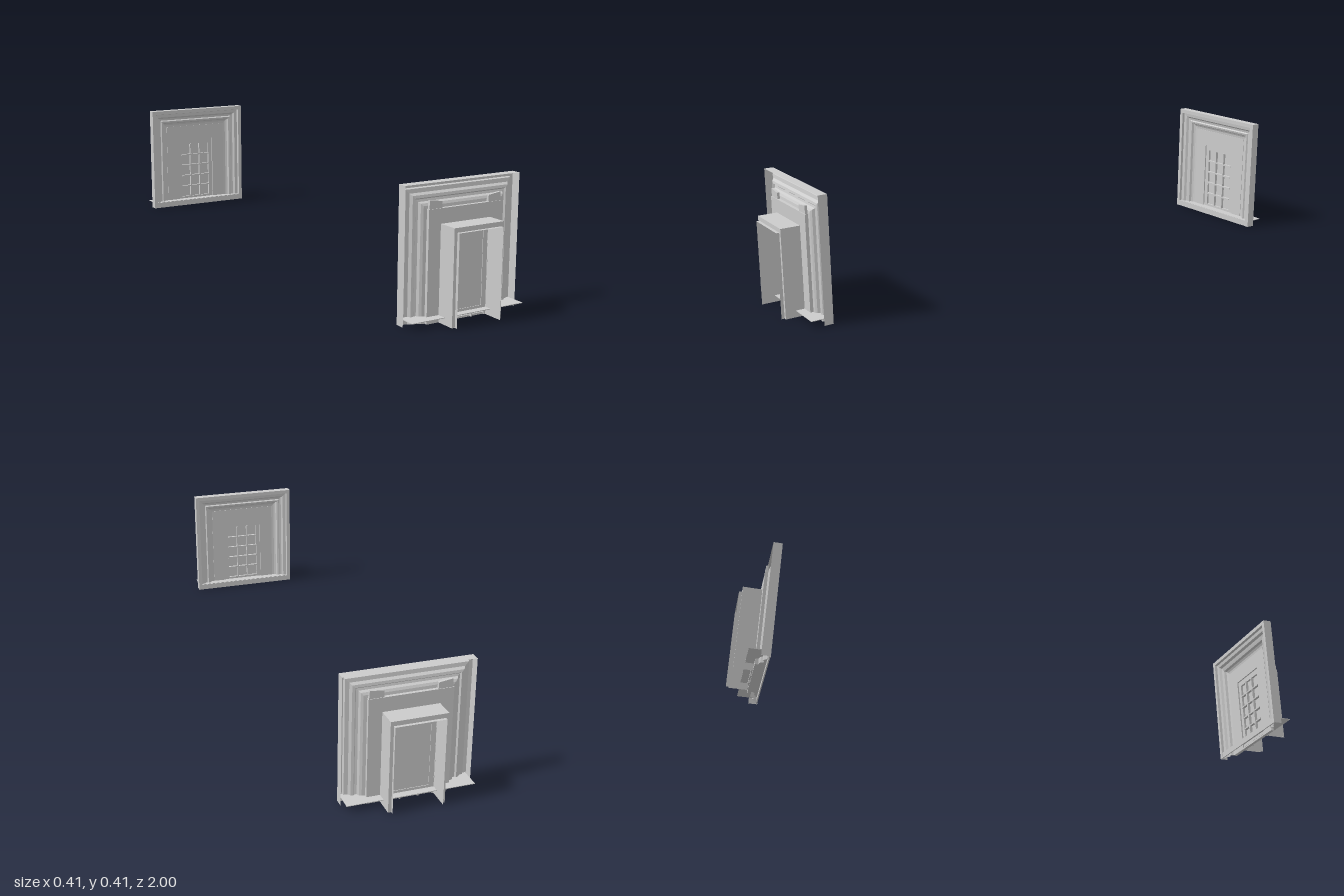
import * as THREE from 'three';

const mat = new THREE.MeshStandardMaterial({ color: 0xcccccc, side: THREE.DoubleSide, flatShading: true });

function add(group, name, geo, x = 0, y = 0, z = 0) {
  const m = new THREE.Mesh(geo, mat);
  m.name = name;
  m.position.set(x, y, z);
  group.add(m);
  return m;
}
const box = (g, name, w, h, d, x, y, z) => add(g, name, new THREE.BoxGeometry(w, h, d), x, y, z);

// Sweeps a profile of [half width, top height, z] up one side, across the top and down the other
function archSweep(profile) {
  const pos = [], idx = [];
  for (const [w, h, z] of profile) pos.push(-w, 0, z, -w, h, z, w, h, z, w, 0, z);
  for (let i = 0; i < profile.length - 1; i++)
    for (let j = 0; j < 3; j++) {
      const a = i * 4 + j, b = a + 4;
      idx.push(a, a + 1, b + 1, a, b + 1, b);
    }
  const g = new THREE.BufferGeometry();
  g.setAttribute('position', new THREE.Float32BufferAttribute(pos, 3));
  g.setIndex(idx);
  const flat = g.toNonIndexed();
  flat.computeVertexNormals();
  return flat;
}

// Flat rectangular plate with a rectangular opening, extruded along z
function framePlate(w, y0, y1, hw, hy0, hy1, depth) {
  const rect = (P, a, b, c) => new P([[-a, b], [a, b], [a, c], [-a, c]].map(p => new THREE.Vector2(...p)));
  const s = rect(THREE.Shape, w, y0, y1);
  s.holes.push(rect(THREE.Path, hw, hy0, hy1));
  return new THREE.ExtrudeGeometry(s, { depth, bevelEnabled: false });
}

function createWindow() {
  const g = new THREE.Group();
  g.name = 'windowUnit';

  // Stepped moulding around the sides and top
  const steps = [[0, 0.915], [0, 0.885], [0.014, 0.885], [0.016, 0.894], [0.028, 0.896], [0.034, 0.904],
    [0.042, 0.906], [0.046, 0.901], [0.053, 0.903], [0.057, 0.911], [0.064, 0.915], [0.076, 0.917]];
  add(g, 'outerMoulding', archSweep(steps.map(([d, z]) => [0.204 - d, 0.408 - d, z])));

  // Recessed wall panel around the window
  add(g, 'wallPanel', framePlate(0.13, 0, 0.335, 0.078, 0.006, 0.275, 0.012), 0, 0, 0.915);

  // Reveal hood, open at the outer end and at the bottom
  add(g, 'revealHood', archSweep([[0.088, 0.29, 0.925], [0.088, 0.29, 0.99], [0.078, 0.276, 0.99], [0.078, 0.276, 1]]));
  add(g, 'revealLining', archSweep([[0.078, 0.276, 0.99], [0.078, 0.276, 0.925]]));

  // Sash, glass and glazing bars
  add(g, 'sash', framePlate(0.08, 0.01, 0.277, 0.062, 0.03, 0.255, 0.012), 0, 0, 0.92);
  box(g, 'glass', 0.126, 0.228, 0.002, 0, 0.1425, 0.929);
  for (const x of [-0.021, 0.021]) box(g, 'verticalBar', 0.005, 0.227, 0.01, x, 0.1425, 0.922);
  for (let i = 1; i < 5; i++) box(g, 'horizontalBar', 0.126, 0.005, 0.01, 0, 0.03 + i * 0.045, 0.922);

  // Sill plate with its inner lip
  box(g, 'sillPlate', 0.4, 0.002, 0.067, 0, 0.021, 0.9215);
  box(g, 'sillLip', 0.404, 0.021, 0.004, 0, 0.0105, 0.888);

  for (const s of [-1, 1]) {
    // Slanted wedge above each upper corner of the panel
    const wedge = new THREE.Shape([[0.128, 0.333], [0.082, 0.335], [0.083, 0.355], [0.126, 0.361]]
      .map(([x, y]) => new THREE.Vector2(s * x, y)));
    add(g, 'cornerWedge', new THREE.ExtrudeGeometry(wedge, { depth: 0.008, bevelEnabled: false }), 0, 0, 0.917);
    // Hinge pins and sill feet
    for (const y of [0.056, 0.108, 0.162, 0.218]) box(g, 'hingePin', 0.004, 0.007, 0.004, s * 0.079, y, 0.933);
    for (const x of [0.028, 0.075]) box(g, 'sillFoot', 0.005, 0.011, 0.008, s * x, 0.0055, 0.928);
  }
  return g;
}

export function createModel() {
  const model = new THREE.Group();
  model.name = 'windowPair';
  // Two facing windows on opposite walls
  for (const turn of [0, Math.PI]) {
    const w = createWindow();
    w.rotation.y = turn;
    model.add(w);
  }
  return model;
}
